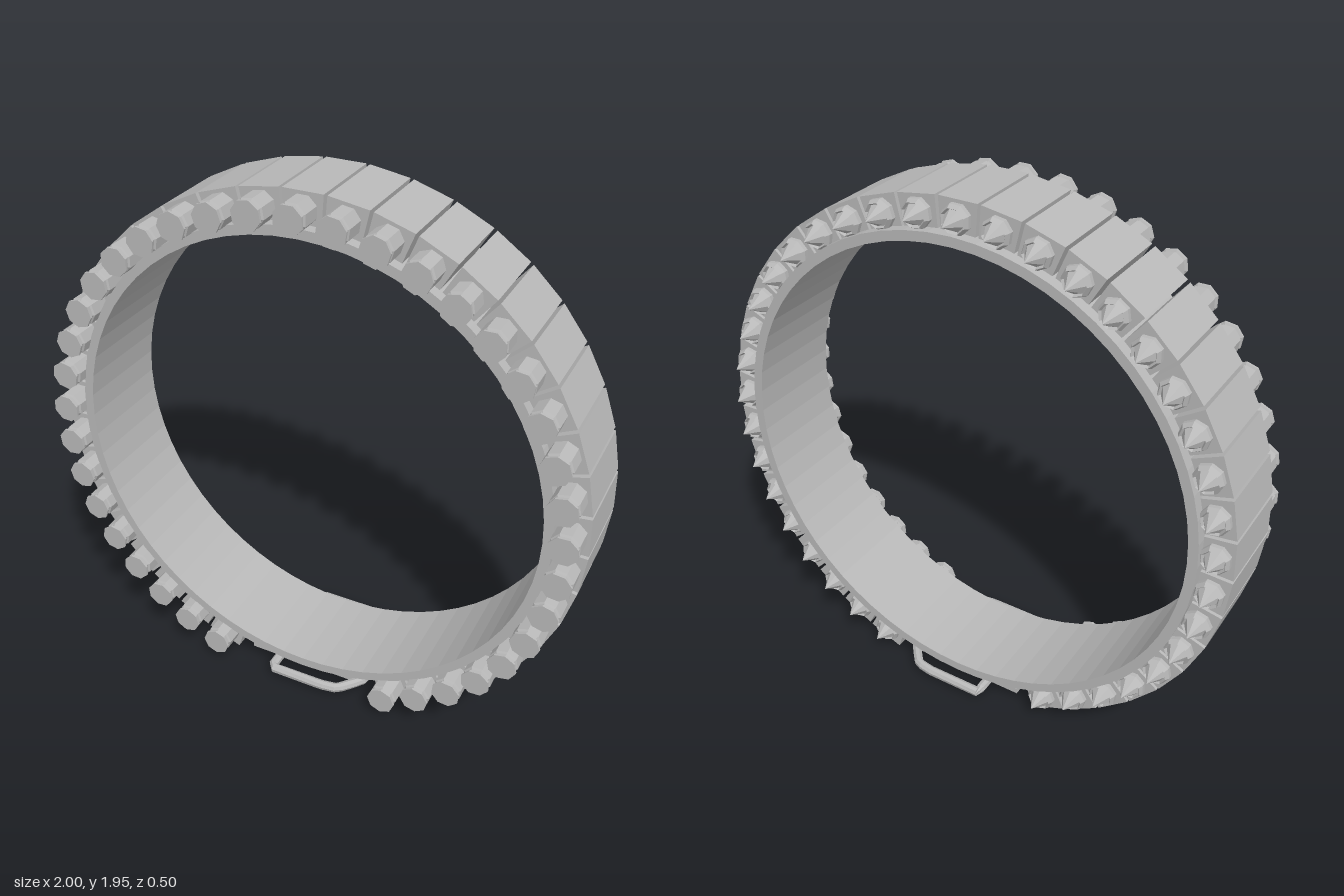
import * as THREE from 'three';

const metal = new THREE.MeshStandardMaterial({ color: 0xb8b8b8 });
metal.name = 'plain grey';
metal.flatShading = true;

const CENTER_Y = 0.95, STEP = (Math.PI * 2) / 41, PER_SIDE = 18;

function part(name, geometry, parent) {
  const mesh = new THREE.Mesh(geometry, metal);
  mesh.name = name;
  parent.add(mesh);
  return mesh;
}

// Solid of revolution around z from [radius, z] pairs running back to front
function latheZ(profile, sides, phase = 0) {
  const g = new THREE.LatheGeometry(profile.map(([r, z]) => new THREE.Vector2(r, z)), sides, phase);
  return g.rotateX(Math.PI / 2);
}

// Extrusion of an outline centred on z = 0
function slab(points, depth) {
  const shape = new THREE.Shape(points.map(([x, y]) => new THREE.Vector2(x, y)));
  return new THREE.ExtrudeGeometry(shape, { depth, bevelEnabled: false }).translate(0, 0, -depth / 2);
}

export function createModel() {
  const model = new THREE.Group();
  model.name = 'studdedBelt';

  const ring = new THREE.Group();
  ring.name = 'beltRing';
  ring.position.y = CENTER_Y;
  model.add(ring);

  // Inner band
  const band = [[0.86, -0.19], [0.895, -0.19], [0.895, 0.19], [0.86, 0.19], [0.86, -0.19]];
  part('innerBand', latheZ(band, 64), ring);

  // Wedge-shaped plates and cartridges, leaving a gap at the bottom
  const t = Math.tan(STEP / 2 - 0.006);
  const plate = slab([[-0.89 * t, 0.89], [0.89 * t, 0.89], [t, 1], [-t, 1]], 0.3);
  const cartridge = latheZ([
    [0, -0.237], [0.037, -0.172], [0.043, -0.182], [0.052, -0.165], [0.052, 0.224],
    [0.046, 0.229], [0.046, 0.238], [0.053, 0.242], [0.053, 0.25], [0, 0.25],
  ], 8, Math.PI / 8);
  cartridge.translate(0, 0.94, 0);
  for (let i = -PER_SIDE; i <= PER_SIDE; i++) {
    const link = new THREE.Group();
    link.name = 'link';
    link.rotation.z = -i * STEP;
    part('plate', plate, link);
    part('cartridge', cartridge, link);
    ring.add(link);
  }

  // Buckle under the gap
  const buckle = new THREE.Group();
  buckle.name = 'buckle';
  buckle.position.y = 0.034;
  model.add(buckle);

  const corners = [[-0.115, -0.232], [0.1, -0.232], [0.16, -0.222], [0.205, -0.17], [0.235, -0.13],
    [0.235, 0.13], [0.205, 0.17], [0.16, 0.222], [0.1, 0.232], [-0.115, 0.232]]
    .map(([x, z]) => new THREE.Vector3(x, 0, z));
  const path = new THREE.CurvePath();
  corners.forEach((p, i) => path.add(new THREE.LineCurve3(p, corners[(i + 1) % corners.length])));
  part('buckleFrame', new THREE.TubeGeometry(path, 64, 0.018, 8, true), buckle);

  // Strap end, flat tongue and centre pin
  part('strapEnd', new THREE.BoxGeometry(0.44, 0.024, 0.3).translate(-0.02, 0, 0), buckle);
  part('pin', new THREE.BoxGeometry(0.3, 0.012, 0.022).translate(0.09, -0.014, 0), buckle);
  return model;
}
